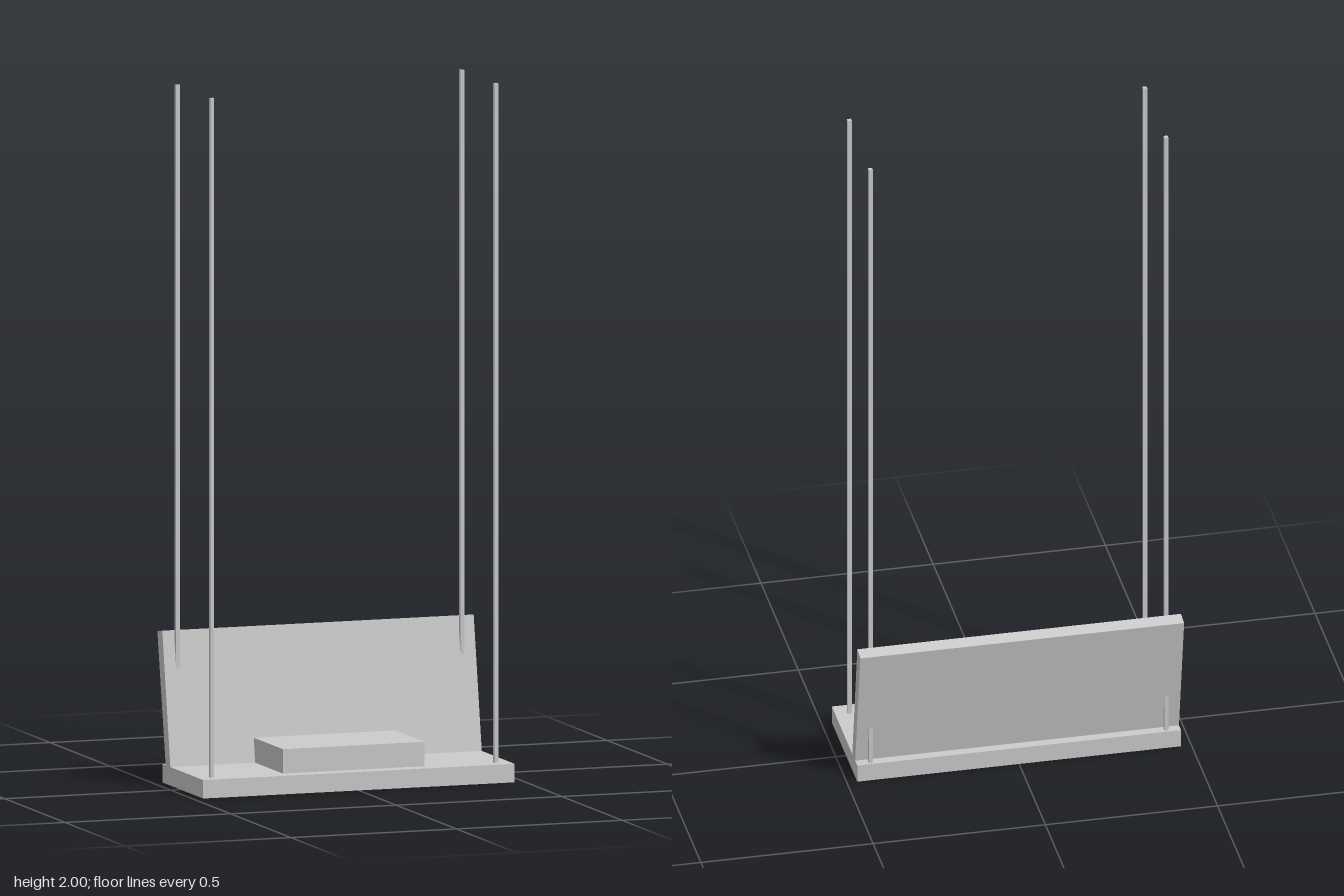
import * as THREE from 'three';

export function createModel() {
  const model = new THREE.Group();
  model.name = 'hangingBench';
  const paleGrey = new THREE.MeshStandardMaterial({ color: 0xcccccc, side: THREE.DoubleSide });
  paleGrey.name = 'paleGrey';

  const halfWidth = 0.47, seatTop = 0.053;

  const add = (name, geometry, x = 0, y = 0, z = 0) => {
    const mesh = new THREE.Mesh(geometry, paleGrey);
    mesh.name = name;
    mesh.position.set(x, y, z);
    model.add(mesh);
  };

  // Seat: a shallow tray that is open underneath (bottom face removed)
  const seat = new THREE.BoxGeometry(halfWidth * 2, seatTop, 0.34);
  const faces = Array.from(seat.index.array);
  faces.splice(18, 6);
  seat.setIndex(faces);
  seat.clearGroups();
  add('seat', seat, 0, seatTop / 2, 0.02);

  // Cushion block in the middle of the seat
  add('cushion', new THREE.BoxGeometry(0.428, 0.07, 0.241), 0, 0.088, 0.026);

  // Backrest: leaning side profile (depth, height) extruded across the width
  const profile = new THREE.Shape([
    [0.083, seatTop], [0.122, seatTop], [0.191, 0.428], [0.15, 0.435],
  ].map(([d, h]) => new THREE.Vector2(d, h)));
  const backrest = new THREE.ExtrudeGeometry(profile, { depth: halfWidth * 2, bevelEnabled: false });
  backrest.rotateY(Math.PI / 2);
  add('backrest', backrest, -halfWidth);

  // Four square ropes rising from the seat corners
  const ropeBase = 0.05;
  const rope = new THREE.BoxGeometry(0.012, 2 - ropeBase, 0.012);
  for (const [side, x] of [['left', 0.429], ['right', -0.429]]) {
    for (const [end, z] of [['Front', 0.146], ['Back', -0.137]]) {
      add(`${side}${end}Rope`, rope, x, (2 + ropeBase) / 2, z);
    }
  }
  return model;
}
